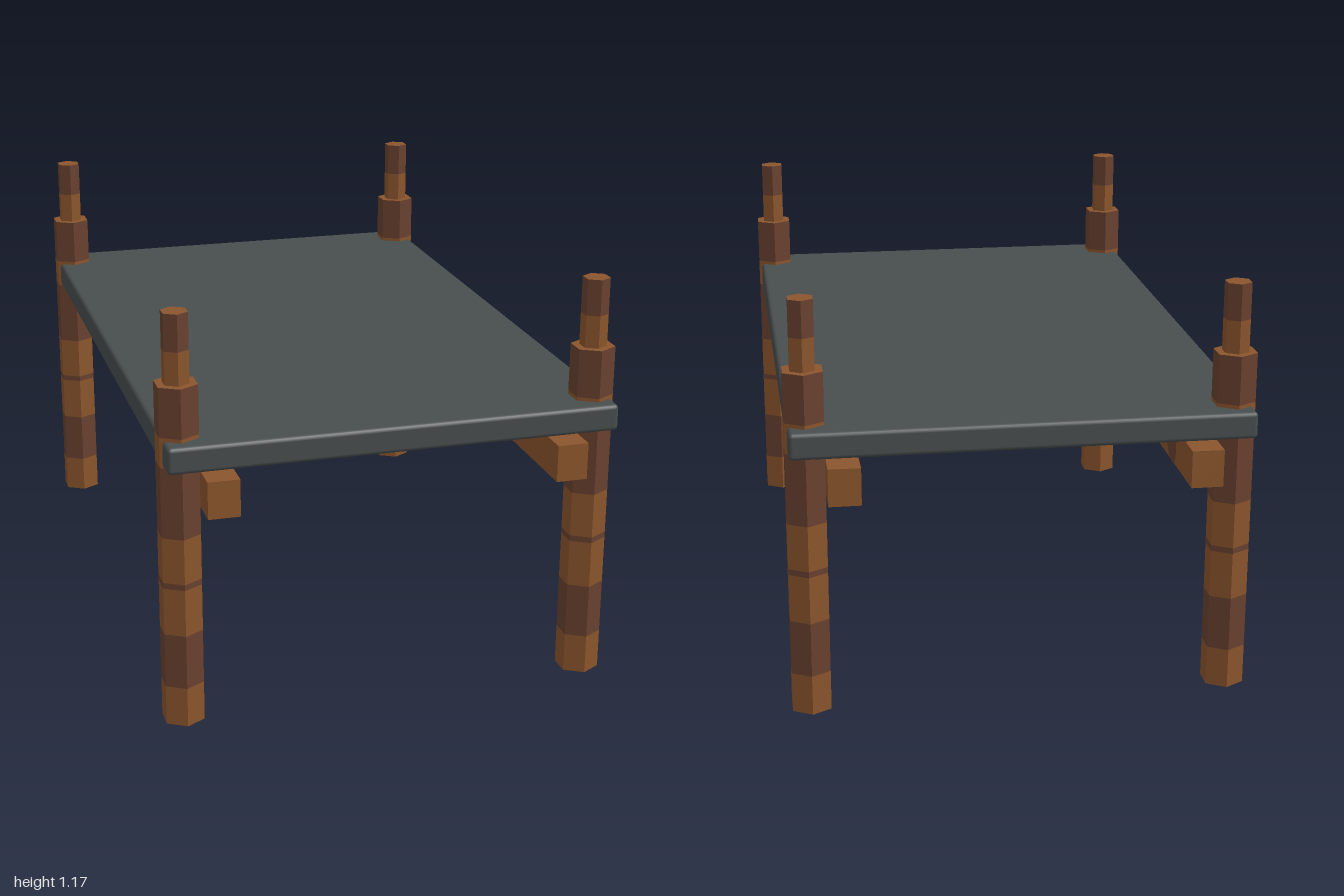
import * as THREE from 'three';
import { RoundedBoxGeometry } from 'three/addons/geometries/RoundedBoxGeometry.js';

const material = (name, color, extra = {}) => {
  const m = new THREE.MeshStandardMaterial({ color, ...extra });
  m.name = name;
  return m;
};

export function createModel() {
  const root = new THREE.Group();
  root.name = 'table';
  const wood = material('warm brown wood', 0x8a552c, { flatShading: true });
  const darkWood = material('dark brown wood', 0x69412f, { flatShading: true });
  const slate = material('dark slate', 0x484d4d);

  const add = (parent, name, geometry, mat, x, y, z) => {
    const mesh = new THREE.Mesh(geometry, mat);
    mesh.name = name;
    mesh.position.set(x, y, z);
    parent.add(mesh);
    return mesh;
  };

  // Slab with softened edges
  add(root, 'tabletop', new RoundedBoxGeometry(1.262, 0.075, 1.946, 2, 0.012), slate, 0, 0.7925, 0);

  // Hexagonal posts in stacked grain bands: [bottom, top, radius, colour]
  const R = 0.0615, r = 0.038;
  const bands = [
    [0, 0.115, R, wood],
    [0.115, 0.272, R, darkWood],
    [0.272, 0.408, R, wood],
    [0.408, 0.425, R, darkWood],
    [0.425, 0.555, R, wood],
    [0.555, 0.69, R, darkWood],
    [0.69, 0.755, R, darkWood],
    [0.755, 0.84, R, wood],
    [0.84, 0.978, R, darkWood],
    [0.978, 1.07, r, wood],
    [1.07, 1.172, r, darkWood],
  ];
  for (const sx of [-1, 1]) {
    for (const sz of [-1, 1]) {
      const post = new THREE.Group();
      post.name = 'post';
      post.position.set(sx * 0.585, 0, sz * 0.878);
      for (const [y0, y1, radius, mat] of bands) {
        const geometry = new THREE.CylinderGeometry(radius, radius, y1 - y0, 6);
        add(post, radius === R ? 'postBand' : 'pegBand', geometry, [mat, wood, wood], 0, (y0 + y1) / 2, 0);
      }
      root.add(post);
    }
  }

  // Irregular knot outline, as a thin plate facing +x
  const knotGeometry = (width, height) => {
    const shape = new THREE.Shape();
    const sides = 10;
    for (let i = 0; i < sides; i++) {
      const a = ((i + 0.5) / sides) * Math.PI * 2;
      const k = i % 3 === 0 ? 0.9 : 1;
      const px = Math.cos(a) * width * 0.5 * k;
      const py = THREE.MathUtils.clamp(Math.sin(a) * height * 0.62 * k, -height / 2, height / 2);
      if (i === 0) shape.moveTo(px, py);
      else shape.lineTo(px, py);
    }
    return new THREE.ShapeGeometry(shape).rotateY(Math.PI / 2);
  };

  // Long rails beneath the slab, with knots on both long faces: [z, width, height]
  const knots = [[0.185, 0.11, 0.105], [-0.78, 0.11, 0.105], [0.75, 0.02, 0.012], [-0.225, 0.02, 0.012]];
  for (const sx of [-1, 1]) {
    const rail = new THREE.Group();
    rail.name = 'rail';
    rail.position.set(sx * 0.488, 0.686, 0);
    add(rail, 'railBeam', new THREE.BoxGeometry(0.088, 0.105, 2), wood, 0, 0, 0);
    for (const face of [-1, 1]) {
      for (const [z, w, h] of knots) {
        const knot = add(rail, 'railKnot', knotGeometry(w, h), darkWood, face * 0.0455, 0, z);
        if (face < 0) knot.rotation.y = Math.PI;
      }
    }
    root.add(rail);
  }
  return root;
}
